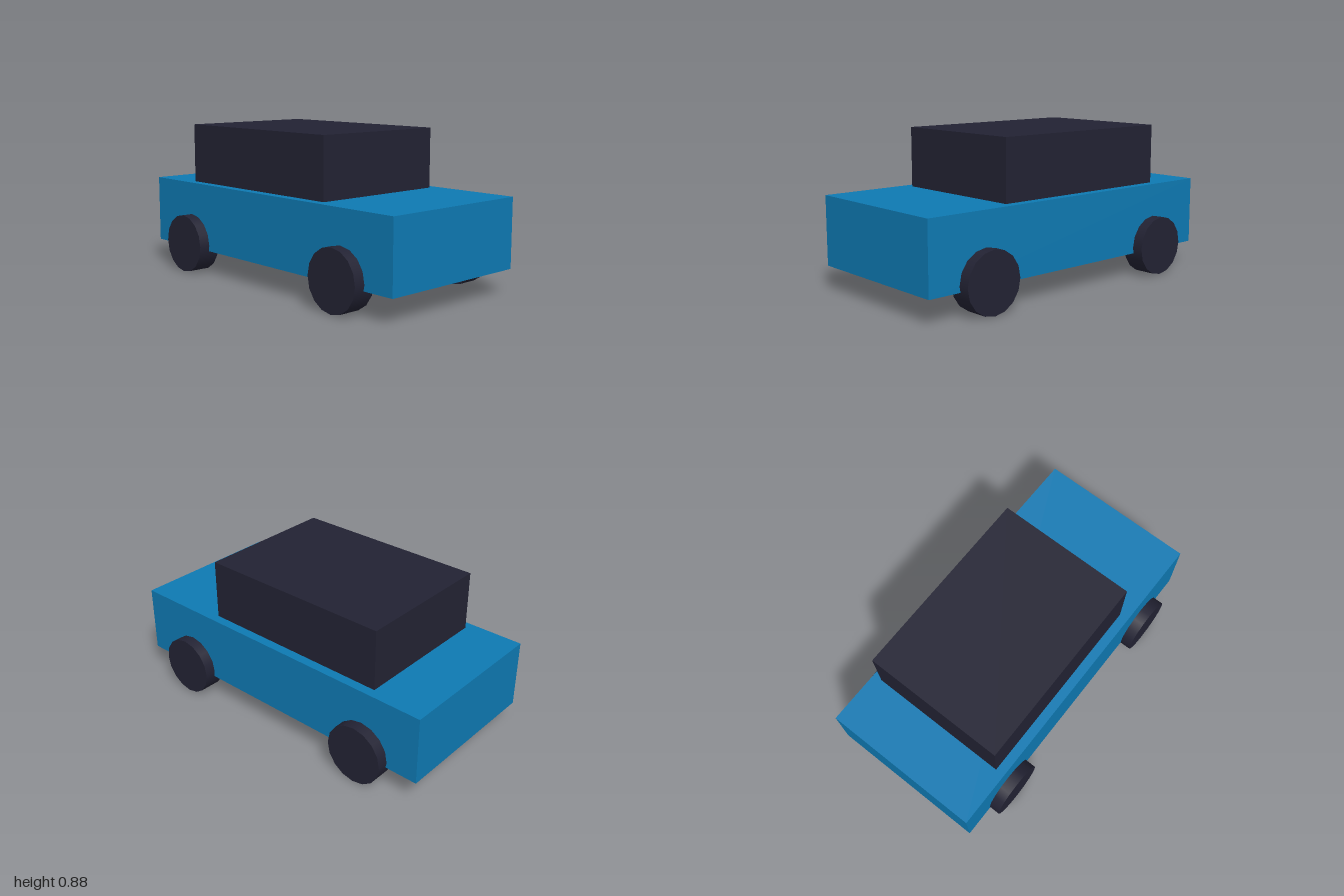
import * as THREE from 'three';

export function createModel() {
  const group = new THREE.Group();
  const paint = new THREE.MeshStandardMaterial({ color: 0x0e79b2 });
  paint.name = 'blue paint';
  const dark = new THREE.MeshStandardMaterial({ color: 0x222233 });
  dark.name = 'dark navy';

  const add = (name, geometry, material, x, y, z) => {
    const mesh = new THREE.Mesh(geometry, material);
    mesh.name = name;
    mesh.position.set(x, y, z);
    group.add(mesh);
  };

  // Main body and the cabin set slightly towards -x
  add('body', new THREE.BoxGeometry(2, 0.393, 0.929), paint, 0, 0.336, 0);
  add('cabin', new THREE.BoxGeometry(1.143, 0.343, 0.821), dark, -0.107, 0.704, 0);

  // Four wheels, axles along z, partly sunk into the body
  const wheel = new THREE.CylinderGeometry(0.171, 0.171, 0.129, 16).rotateX(Math.PI / 2);
  for (const [end, x] of [['Left', 0.643], ['Right', -0.643]]) {
    for (const [side, z] of [['front', 0.464], ['back', -0.464]]) {
      add(`${side}${end}Wheel`, wheel, dark, x, 0.171, z);
    }
  }
  return group;
}
